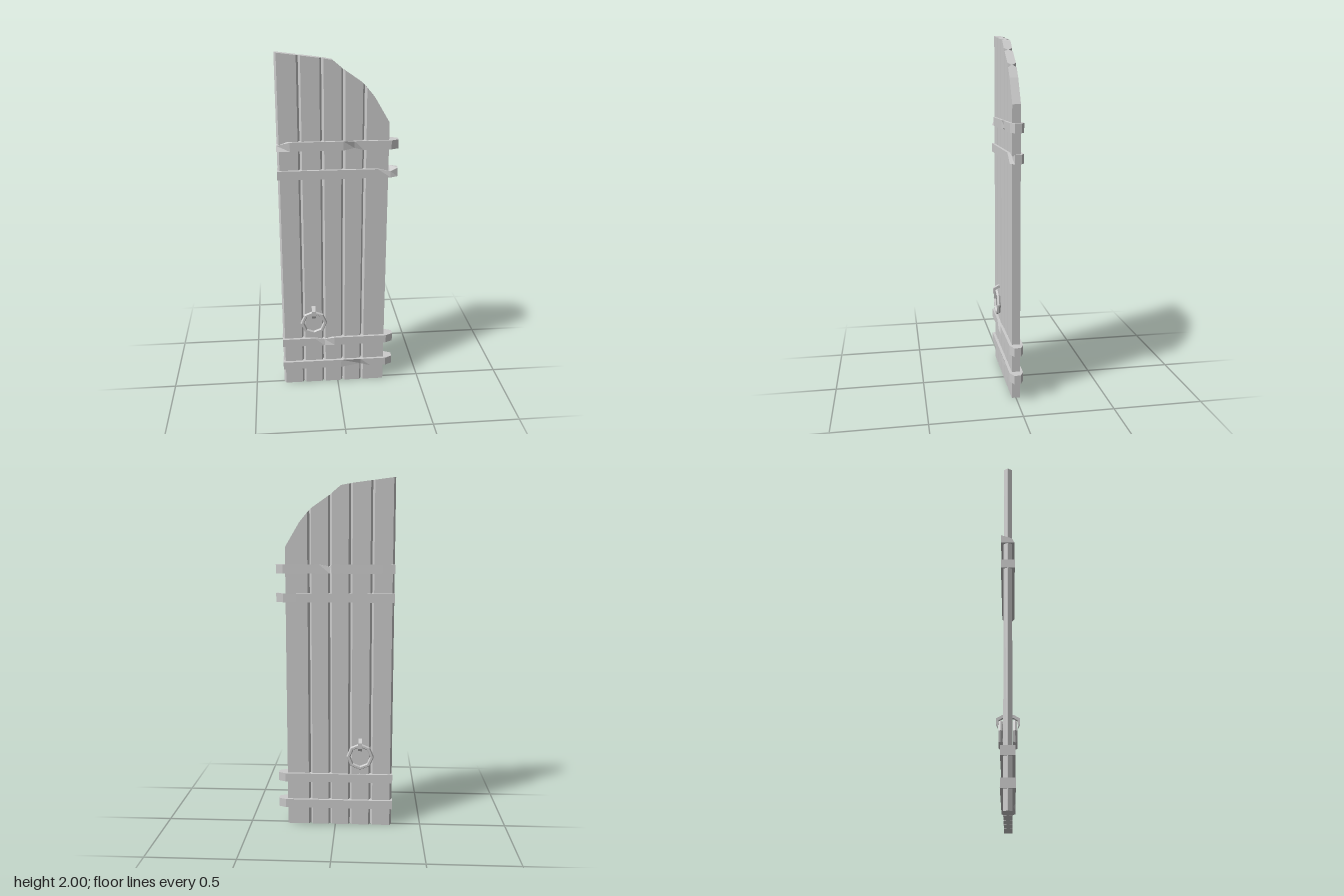
import * as THREE from 'three';

const material = new THREE.MeshStandardMaterial({ color: 0xcccccc, flatShading: true, side: THREE.DoubleSide });

function addMesh(parent, name, geometry) {
  const mesh = new THREE.Mesh(geometry, material);
  mesh.name = name;
  parent.add(mesh);
  return mesh;
}

// Four-cornered cross-sections joined along x.
// Corner order: front bottom, back bottom, back top, front top.
function loft(rings) {
  const pos = [];
  const quad = (a, b, c, d) => pos.push(...a, ...b, ...c, ...a, ...c, ...d);
  for (let s = 0; s < rings.length - 1; s++) {
    const a = rings[s], b = rings[s + 1];
    for (let i = 0; i < 4; i++) {
      const j = (i + 1) % 4;
      quad(a[i], a[j], b[j], b[i]);
    }
  }
  quad(...[...rings[0]].reverse());
  quad(...rings[rings.length - 1]);
  const geometry = new THREE.BufferGeometry();
  geometry.setAttribute('position', new THREE.Float32BufferAttribute(pos, 3));
  geometry.computeVertexNormals();
  return geometry;
}

const ring = (x, y0, y1, back, front) => [[x, y0, front], [x, y0, back], [x, y1, back], [x, y1, front]];

// Arched top edge as a polyline
const arch = [[-0.33, 2], [-0.08, 1.968], [-0.03, 1.958], [0.03, 1.908], [0.14, 1.832], [0.2, 1.76], [0.28, 1.625]];
function topAt(x) {
  let i = 1;
  while (i < arch.length - 1 && x > arch[i][0]) i++;
  const [x0, y0] = arch[i - 1], [x1, y1] = arch[i];
  return y0 + (y1 - y0) * (x - x0) / (x1 - x0);
}

// Plank with V-shaped long edges; the last one ends square
function plank(x0, x1, squareEnd) {
  const c = 0.011;
  const stations = [[x0, 0.002], [x0 + c, 0.023]];
  for (const [x] of arch) if (x > x0 + c && x < x1 - c) stations.push([x, 0.023]);
  if (!squareEnd) stations.push([x1 - c, 0.023]);
  stations.push([x1, squareEnd ? 0.023 : 0.002]);
  return loft(stations.map(([x, z]) => ring(x, 0, topAt(x), -z, z)));
}

// Strap with a tapered right end; each nick is [start, deepest, end, corner, dy, dz]
function strap(y0, y1, nicks) {
  const xs = [-0.333, 0.292, 0.333];
  for (const n of nicks) xs.push(n[0], n[1], n[2]);
  const sorted = [...new Set(xs)].sort((a, b) => a - b);
  return loft(sorted.map((x) => {
    const z = x > 0.292 ? 0.038 - 0.02 * (x - 0.292) / 0.041 : 0.038;
    const r = ring(x, y0, y1, -z, z);
    for (const [, deepest, , corner, dy, dz] of nicks) {
      if (x !== deepest) continue;
      r[corner][1] += corner < 2 ? dy : -dy;
      r[corner][2] += corner === 1 || corner === 2 ? dz : -dz;
    }
    return r;
  }));
}

// Ring pull hanging from a hooked staple, facing +z
function ringPull(name) {
  const group = new THREE.Group();
  group.name = name;
  const hoop = addMesh(group, 'pullRing', new THREE.TorusGeometry(0.068, 0.012, 6, 8));
  hoop.position.set(0, 0.425, 0.037);

  const profile = [[0.015, 0.53], [0.03, 0.53], [0.062, 0.512], [0.062, 0.48], [0.052, 0.462],
    [0.05, 0.5], [0.03, 0.513], [0.015, 0.513]];
  const shape = new THREE.Shape(profile.map(([z, y]) => new THREE.Vector2(-z, y)));
  const geometry = new THREE.ExtrudeGeometry(shape, { depth: 0.022, bevelEnabled: false });
  geometry.translate(0, 0, -0.011);
  geometry.rotateY(Math.PI / 2);
  addMesh(group, 'staple', geometry);
  group.position.x = -0.145;
  return group;
}

export function createModel() {
  const model = new THREE.Group();
  model.name = 'archedPlankDoor';

  // Planks
  const seams = [-0.33, -0.206, -0.085, 0.03, 0.145, 0.28];
  for (let i = 0; i < 5; i++) {
    addMesh(model, `plank${i + 1}`, plank(seams[i], seams[i + 1], i === 4));
  }

  // Cross straps with worn nicks
  const straps = [
    [1.48, [[-0.333, -0.333, -0.26, 3, 0.02, 0.018], [0.02, 0.09, 0.14, 0, 0.01, 0.012], [-0.04, 0.03, 0.09, 2, 0.012, 0.014]]],
    [1.32, [[0.22, 0.292, 0.333, 3, 0.018, 0.012]]],
    [0.265, [[-0.14, -0.08, -0.02, 3, 0.014, 0.012]]],
    [0.105, [[0.02, 0.14, 0.2, 0, 0.012, 0.012]]],
  ];
  straps.forEach(([y, nicks], i) => addMesh(model, `strap${i + 1}`, strap(y, y + 0.05, nicks)));

  // Ring pulls on both faces
  model.add(ringPull('frontRingPull'));
  const backPull = ringPull('backRingPull');
  backPull.rotation.y = Math.PI;
  model.add(backPull);

  return model;
}
